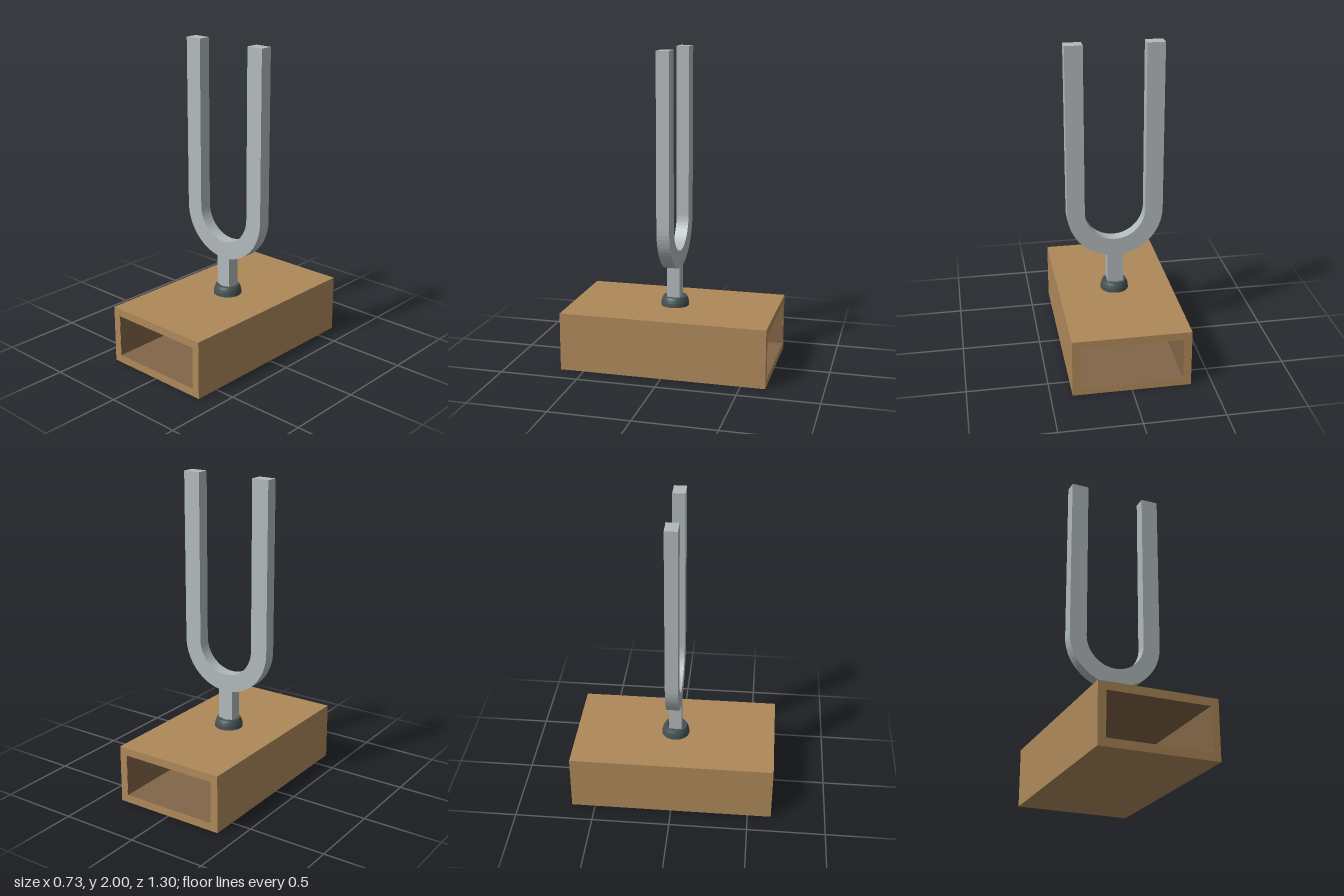
import * as THREE from 'three';

const mat = (name, color) => new THREE.MeshStandardMaterial({ name, color });

// Rectangular tube open at both z ends
function tube(w, h, wall, depth) {
  const rect = (P, a, b) => new P([[-a, -b], [a, -b], [a, b], [-a, b]].map(p => new THREE.Vector2(...p)));
  const shape = rect(THREE.Shape, w / 2, h / 2);
  shape.holes.push(rect(THREE.Path, w / 2 - wall, h / 2 - wall));
  return new THREE.ExtrudeGeometry(shape, { depth, bevelEnabled: false }).translate(0, 0, -depth / 2);
}

export function createModel() {
  const model = new THREE.Group();
  const steel = mat('steel', 0xb2babc);
  const wood = mat('wood', 0xae895a);
  const innerWood = mat('inner wood', 0x826547);
  const rubber = mat('dark collar', 0x465254);
  rubber.side = THREE.DoubleSide;

  const add = (name, geometry, material, y = 0) => {
    const mesh = new THREE.Mesh(geometry, material);
    mesh.name = name;
    mesh.position.y = y;
    model.add(mesh);
  };

  // Hollow resonance box with a darker thin lining
  add('resonanceBox', tube(0.734, 0.37, 0.048, 1.304), wood, 0.185);
  add('boxLining', tube(0.642, 0.278, 0.004, 1.302), [wood, innerWood], 0.185);

  // Collar ring around the stem
  const profile = [[0.052, 0.37], [0.09, 0.37], [0.088, 0.395], [0.083, 0.413], [0.075, 0.43], [0.052, 0.43], [0.052, 0.37]];
  add('collar', new THREE.LatheGeometry(profile.map(p => new THREE.Vector2(...p)), 32).toNonIndexed(), rubber);
  model.children.at(-1).geometry.computeVertexNormals();

  // Stem below the bend
  add('stem', new THREE.BoxGeometry(0.1, 0.27, 0.08), steel, 0.505);

  // U-shaped fork
  const outer = 0.305, inner = 0.193, bend = 0.925, top = 2;
  const u = new THREE.Shape();
  u.moveTo(-outer, top);
  u.lineTo(-outer, bend);
  u.absarc(0, bend, outer, Math.PI, Math.PI * 2, false);
  u.lineTo(outer, top);
  u.lineTo(inner, top);
  u.lineTo(inner, bend);
  u.absarc(0, bend, inner, 0, -Math.PI, true);
  u.lineTo(-inner, top);
  u.closePath();
  add('fork', new THREE.ExtrudeGeometry(u, { depth: 0.08, bevelEnabled: false, curveSegments: 16 }).translate(0, 0, -0.04), steel);

  return model;
}
